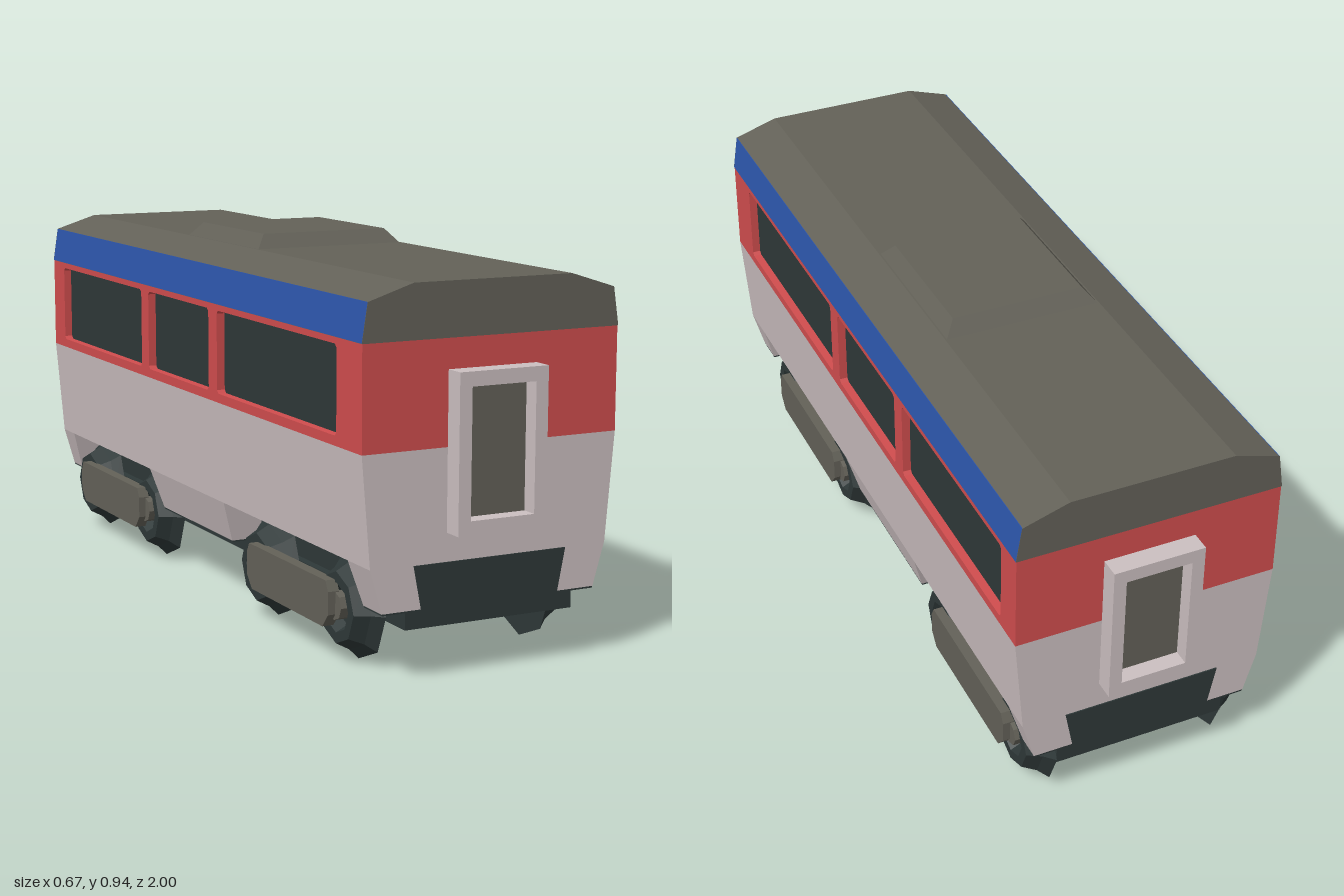
import * as THREE from 'three';

const mat = (name, color) => {
  const m = new THREE.MeshStandardMaterial({ color });
  m.name = name;
  return m;
};

export function createModel() {
  const cream = mat('pale body', 0xcbbfc0);
  const red = mat('red band', 0xd04d4e);
  const blue = mat('blue stripe', 0x2c55aa);
  const grey = mat('roof grey', 0x636158);
  const dark = mat('dark underframe', 0x2e3838);

  const root = new THREE.Group();
  root.name = 'railCarriage';
  const END = 0.95;

  const add = (name, geo, material, parent = root) => {
    const m = new THREE.Mesh(geo, material);
    m.name = name;
    parent.add(m);
    return m;
  };
  const shapeOf = (pts) => new THREE.Shape(pts.map((p) => new THREE.Vector2(...p)));
  const rect = (x0, x1, y0, y1) => [[x0, y0], [x1, y0], [x1, y1], [x0, y1]];
  // closed half profile mirrored across x = 0 (listed bottom to top)
  const mirrored = (half) => [...half, ...half.slice().reverse().map(([x, y]) => [-x, y])];
  const prism = (pts, z0, z1, holes = []) => {
    const s = shapeOf(pts);
    s.holes = holes.map(shapeOf);
    const g = new THREE.ExtrudeGeometry(s, { depth: z1 - z0, bevelEnabled: false });
    return g.translate(0, 0, z0);
  };
  const box = (x0, x1, y0, y1, z0, z1) => prism(rect(x0, x1, y0, y1), z0, z1);

  // Body shell
  add('lowerBody', prism(mirrored([[0.31, 0.27], [0.332, 0.53]]), -END, END), cream);
  add('upperBodyCore', box(-0.308, 0.308, 0.53, 0.775, -END, END), red);
  add('roof', prism(mirrored([[0.332, 0.775], [0.318, 0.866], [0.205, 0.902]]), -END, END), grey);

  // Skirts between the wheel arches, their ends sloping with height: [z back, z front, slopes]
  const skirts = [
    [0.845, END, 0.02, 0],
    [-0.297, 0.18, 0.027, -0.015],
    [-END, -0.87, 0, -0.02],
  ];
  for (const [z0, z1, s0, s1] of skirts) {
    const g = prism(mirrored([[0.28, 0.166], [0.31, 0.27]]), z0, z1);
    const p = g.attributes.position;
    const mid = (z0 + z1) / 2;
    for (let i = 0; i < p.count; i++) {
      const k = (0.27 - p.getY(i)) / 0.104;
      p.setZ(i, p.getZ(i) + k * (p.getZ(i) < mid ? s0 : s1));
    }
    g.computeVertexNormals();
    add('skirt', g, cream);
    add('skirtFloor', box(-0.279, 0.279, 0.162, 0.166, z0 + s0, z1 + s1), dark);
  }

  // Underframe and end aprons
  add('archWall', box(-0.2, 0.2, 0.16, 0.27, -0.94, 0.94), dark);
  add('underframe', box(-0.22, 0.22, 0.122, 0.166, -END, END), dark);
  const apron = mirrored([[0.18, 0.166], [0.2, 0.268]]);
  add('frontApron', prism(apron, END, END + 0.003), dark);
  add('backApron', prism(apron, -END - 0.003, -END), dark);

  // Window frames, panes and blue stripes on both sides
  const windows = [[-0.83, -0.193], [-0.143, 0.242], [0.29, 0.87]];
  const c = 0.008;
  const opening = ([a, b]) => [
    [a + c, 0.553], [b - c, 0.553], [b, 0.553 + c], [b, 0.76 - c],
    [b - c, 0.76], [a + c, 0.76], [a, 0.76 - c], [a, 0.553 + c],
  ];
  for (const side of [1, -1]) {
    // drawn along -z, then turned to face sideways
    const flip = (w) => (side > 0 ? w : [-w[1], -w[0]]);
    const turn = (g) => g.rotateY((side * Math.PI) / 2);
    const holes = windows.map((w) => opening(flip(w)));
    add('windowFrame', turn(prism(rect(-END, END, 0.53, 0.775), 0.307, 0.332, holes)), red);
    for (const w of windows) {
      const [a, b] = flip(w);
      add('windowPane', turn(prism(rect(a, b, 0.553, 0.76), 0.307, 0.311)), dark);
    }
    const stripe = [[0.328, 0.776], [0.3335, 0.776], [0.3195, 0.866], [0.314, 0.866]];
    const g = prism(stripe, -END, END);
    if (side < 0) g.rotateY(Math.PI);
    add('blueStripe', g, blue);
  }
  // Grey roof caps hiding the stripe ends
  const cap = mirrored([[0.3335, 0.776], [0.3195, 0.866], [0.205, 0.902]]);
  add('frontRoofCap', prism(cap, END, END + 0.001), grey);
  add('backRoofCap', prism(cap, -END - 0.001, -END), grey);

  // End doorways
  for (const side of [1, -1]) {
    const door = new THREE.Group();
    door.name = side > 0 ? 'frontDoor' : 'backDoor';
    if (side < 0) door.rotation.y = Math.PI;
    root.add(door);
    add('doorFrame', prism(rect(-0.115, 0.115, 0.335, 0.705), 0.95, 1,
      [rect(-0.083, 0.083, 0.368, 0.671)]), cream, door);
    add('doorPane', box(-0.083, 0.083, 0.368, 0.671, 0.95, 0.959), grey, door);
  }

  // Roof unit: a box tapered toward the top
  const unit = new THREE.BoxGeometry(0.41, 0.04, 0.435);
  const up = unit.attributes.position;
  for (let i = 0; i < up.count; i++) {
    if (up.getY(i) > 0) up.setXYZ(i, up.getX(i) * 0.84, up.getY(i), up.getZ(i) * 0.84);
  }
  unit.computeVertexNormals();
  add('roofUnit', unit, grey).position.set(0, 0.917, -0.053);

  // Bogies: flanged eight-sided wheels, hubs and side frames
  const wheelProfile = [
    [0, 0], [0.13, 0], [0.105, 0.025], [0.086, 0.06], [0.06, 0.06], [0.045, 0.03], [0, 0.03],
  ].map((p) => new THREE.Vector2(...p));
  const wheelGeo = new THREE.LatheGeometry(wheelProfile, 8).toNonIndexed();
  wheelGeo.computeVertexNormals();
  wheelGeo.rotateZ(-Math.PI / 2).translate(0.22, 0, 0);
  const hubGeo = new THREE.CylinderGeometry(0.035, 0.035, 0.05, 8).toNonIndexed();
  hubGeo.computeVertexNormals();
  hubGeo.rotateZ(-Math.PI / 2).translate(0.26, 0, 0);
  const frameGeo = prism([
    [-0.19, 0.082], [0.19, 0.082], [0.218, 0.115], [0.218, 0.17],
    [0.205, 0.195], [-0.205, 0.195], [-0.218, 0.17], [-0.218, 0.115],
  ], 0.275, 0.304).rotateY(Math.PI / 2);

  for (const z of [0.52, -0.61]) {
    for (const turn of [0, Math.PI]) {
      const bogie = new THREE.Group();
      bogie.name = 'bogieSide';
      bogie.position.z = z;
      bogie.rotation.y = turn;
      root.add(bogie);
      for (const dz of [0.212, -0.212]) {
        add('wheel', wheelGeo, dark, bogie).position.set(0, 0.13, dz);
        add('hub', hubGeo, grey, bogie).position.set(0, 0.135, dz);
      }
      add('sideFrame', frameGeo, grey, bogie);
    }
  }
  return root;
}
